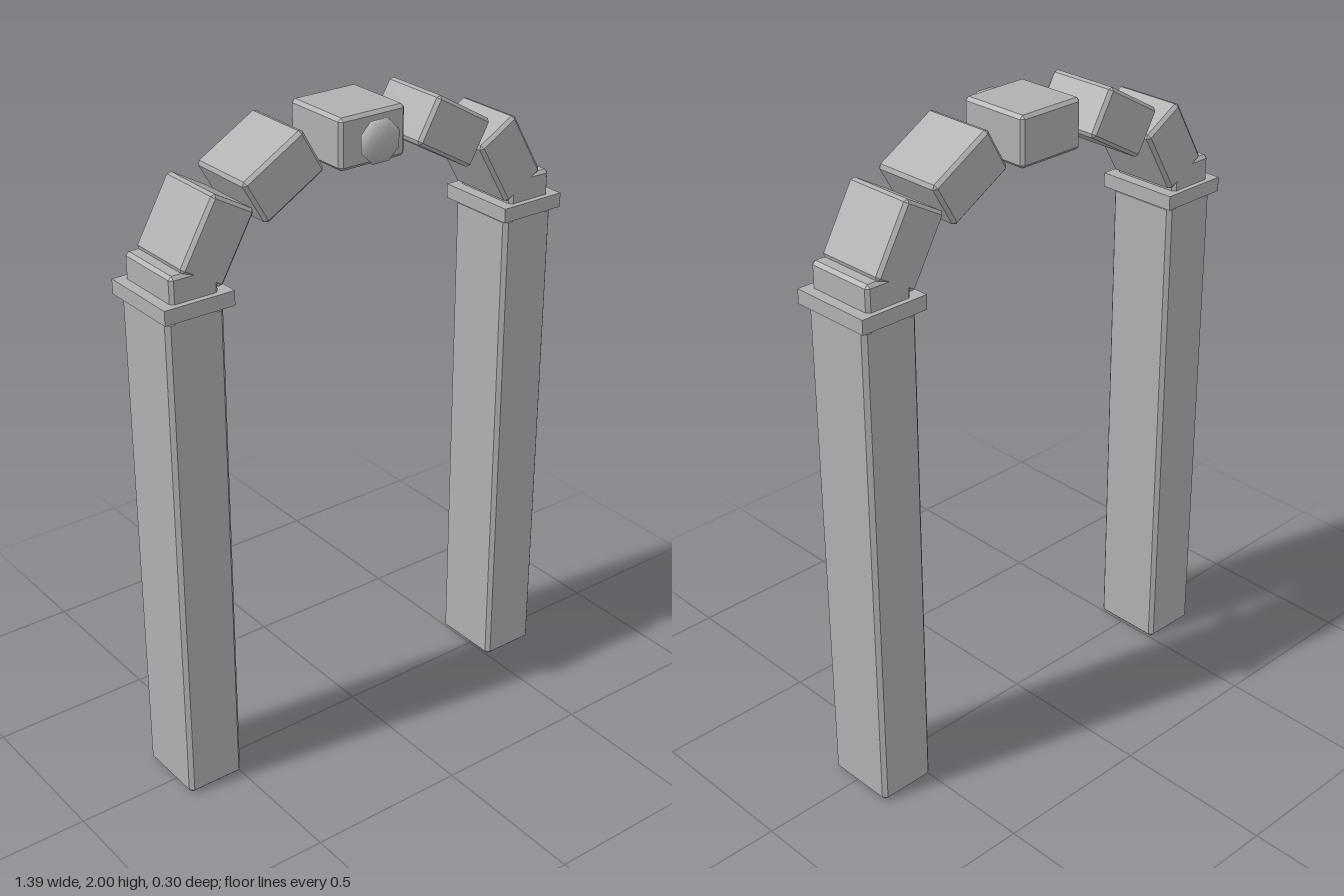
import * as THREE from 'three';
import { ConvexGeometry } from 'three/addons/geometries/ConvexGeometry.js';

const DEPTH_CENTRE = -0.021;
const BLOCK_DEPTH = 0.23;

// Box with a single flat chamfer on every edge
function chamferBox(w, h, d, c) {
  const points = [];
  for (const x of [-w / 2, w / 2])
    for (const y of [-h / 2, h / 2])
      for (const z of [-d / 2, d / 2]) {
        const ix = x - Math.sign(x) * c, iy = y - Math.sign(y) * c, iz = z - Math.sign(z) * c;
        points.push(
          new THREE.Vector3(x, iy, iz),
          new THREE.Vector3(ix, y, iz),
          new THREE.Vector3(ix, iy, z)
        );
      }
  return new ConvexGeometry(points);
}

export function createModel() {
  const model = new THREE.Group();
  model.name = 'stoneArch';
  const stone = new THREE.MeshStandardMaterial({ color: 0xb0b0b0 });
  stone.name = 'grey stone';

  const add = (name, geometry, x, y, z = DEPTH_CENTRE) => {
    const mesh = new THREE.Mesh(geometry, stone);
    mesh.name = name;
    mesh.position.set(x, y, z);
    model.add(mesh);
    return mesh;
  };

  // Pillars with flat capitals
  const pillar = chamferBox(0.184, 1.565, BLOCK_DEPTH, 0.012);
  const capital = new THREE.BoxGeometry(0.22, 0.044, 0.264);
  for (const [side, s] of [['left', 1], ['right', -1]]) {
    add(side + 'Pillar', pillar, s * 0.589, 0.7825);
    add(side + 'Capital', capital, s * 0.587, 1.588, -0.02);
  }

  // Arch blocks every 30 degrees along a half ellipse
  const block = chamferBox(0.225, 0.15, BLOCK_DEPTH, 0.01);
  for (let i = -3; i <= 3; i++) {
    const a = (i * Math.PI) / 6;
    const name = i === 0 ? 'keystone' : (i > 0 ? 'left' : 'right') + 'ArchBlock' + Math.abs(i);
    const mesh = add(name, block, 0.589 * Math.sin(a), 1.575 + 0.35 * Math.cos(a));
    mesh.rotation.z = -a;
  }

  // Flattened eight-sided boss on the keystone
  const boss = new THREE.SphereGeometry(1, 8, 8);
  boss.rotateX(Math.PI / 2);
  boss.rotateZ(Math.PI / 8);
  boss.scale(0.067, 0.067, 0.029);
  add('keystoneBoss', boss, 0, 1.925, 0.123);

  return model;
}
